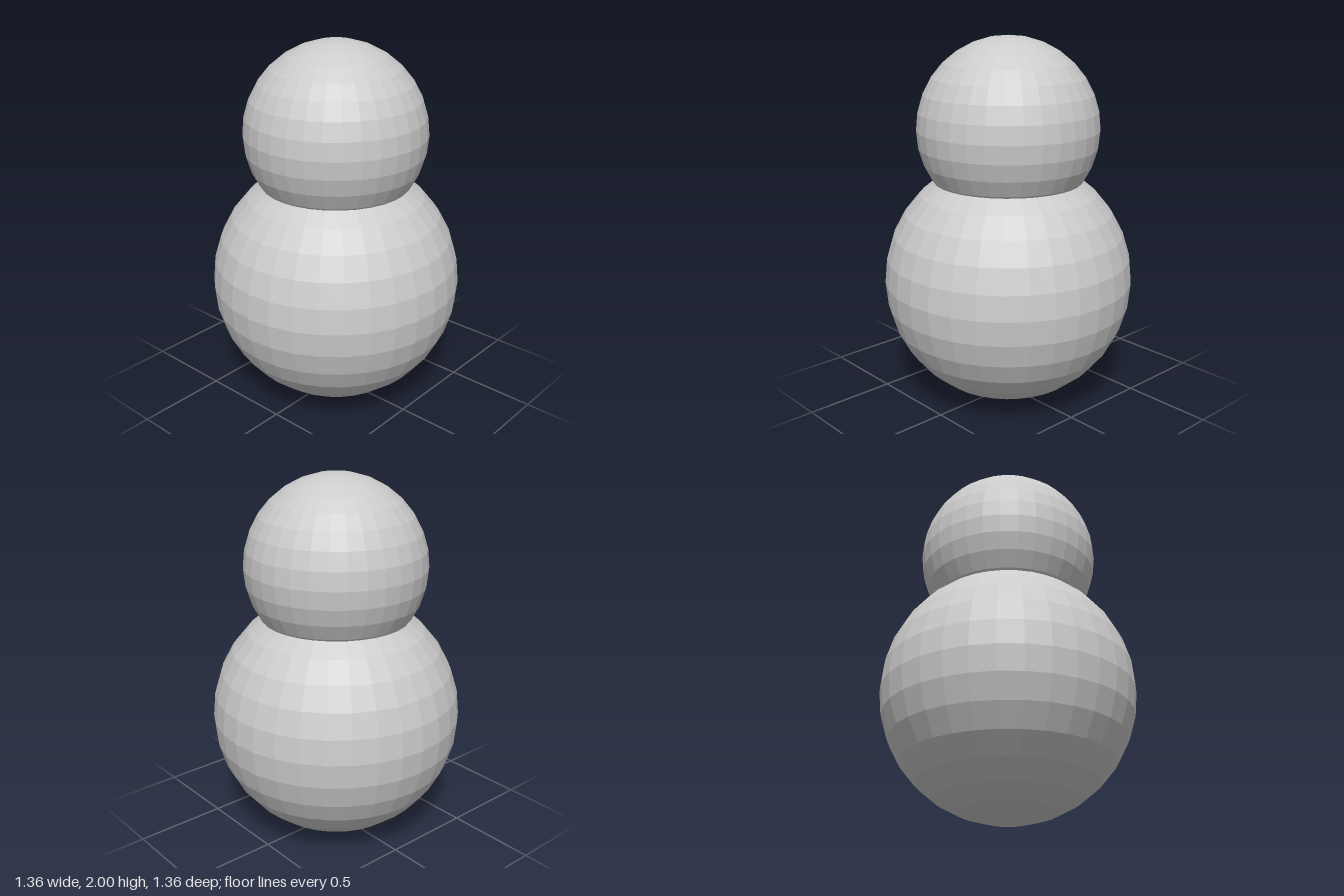
import * as THREE from 'three';

// Faceted ball, 32 sides around and 16 rings high
function ball(name, radius, y, material) {
  const mesh = new THREE.Mesh(new THREE.SphereGeometry(radius, 32, 16), material);
  mesh.name = name;
  mesh.position.y = y;
  return mesh;
}

export function createModel() {
  const group = new THREE.Group();
  group.name = 'stackedBalls';
  const grey = new THREE.MeshStandardMaterial({ color: 0xcccccc, flatShading: true });

  // Large body with a smaller head sunk into its top
  group.add(ball('body', 0.68, 0.68, grey));
  group.add(ball('head', 0.49, 1.51, grey));
  return group;
}
